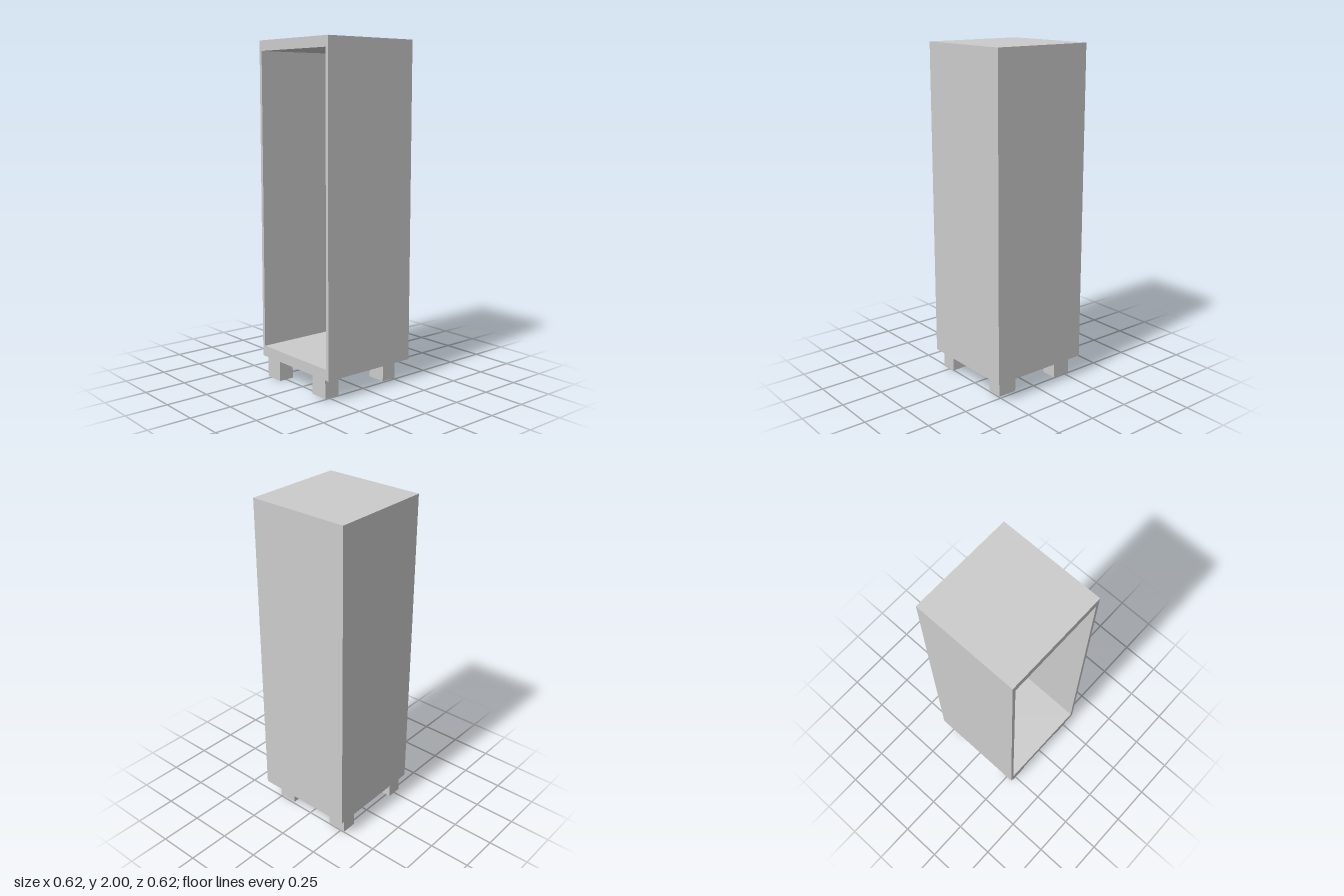
import * as THREE from 'three';

const material = new THREE.MeshStandardMaterial({ color: 0xcccccc, flatShading: true });

const HALF = 0.31;      // half width and half depth of the case
const BOTTOM = 0.127;   // underside of the case
const TOP = 2;
const BACK = 0.05;      // thickness of the back panel

function addMesh(group, name, geometry, x = 0, y = 0, z = 0) {
  const mesh = new THREE.Mesh(geometry, material);
  mesh.name = name;
  mesh.position.set(x, y, z);
  group.add(mesh);
}

// Rectangle outline from two opposite corners
function trace(path, x0, y0, x1, y1) {
  path.moveTo(x0, y0);
  path.lineTo(x1, y0);
  path.lineTo(x1, y1);
  path.lineTo(x0, y1);
  path.closePath();
  return path;
}

export function createModel() {
  const model = new THREE.Group();
  model.name = 'openCabinet';

  // Sides, top and floor as one frame around the front opening
  const outline = trace(new THREE.Shape(), -HALF, BOTTOM, HALF, TOP);
  outline.holes.push(trace(new THREE.Path(), -0.29, 0.19, 0.29, 1.94));
  const frame = new THREE.ExtrudeGeometry(outline, { depth: 2 * HALF - BACK, bevelEnabled: false });
  addMesh(model, 'cabinetFrame', frame, 0, 0, -HALF + BACK);

  // Closed back
  const height = TOP - BOTTOM;
  addMesh(model, 'backPanel', new THREE.BoxGeometry(2 * HALF, height, BACK),
    0, BOTTOM + height / 2, -HALF + BACK / 2);

  // Four block feet, set slightly unevenly: name, x, z, bottom height
  const feet = [
    ['frontRightFoot', -0.219, 0.248, 0],
    ['frontLeftFoot', 0.207, 0.248, 0.01],
    ['backRightFoot', -0.219, -0.204, 0.005],
    ['backLeftFoot', 0.197, -0.2, 0.01],
  ];
  for (const [name, x, z, y] of feet) {
    const h = BOTTOM - y;
    addMesh(model, name, new THREE.BoxGeometry(0.116, h, 0.095), x, y + h / 2, z);
  }
  return model;
}
